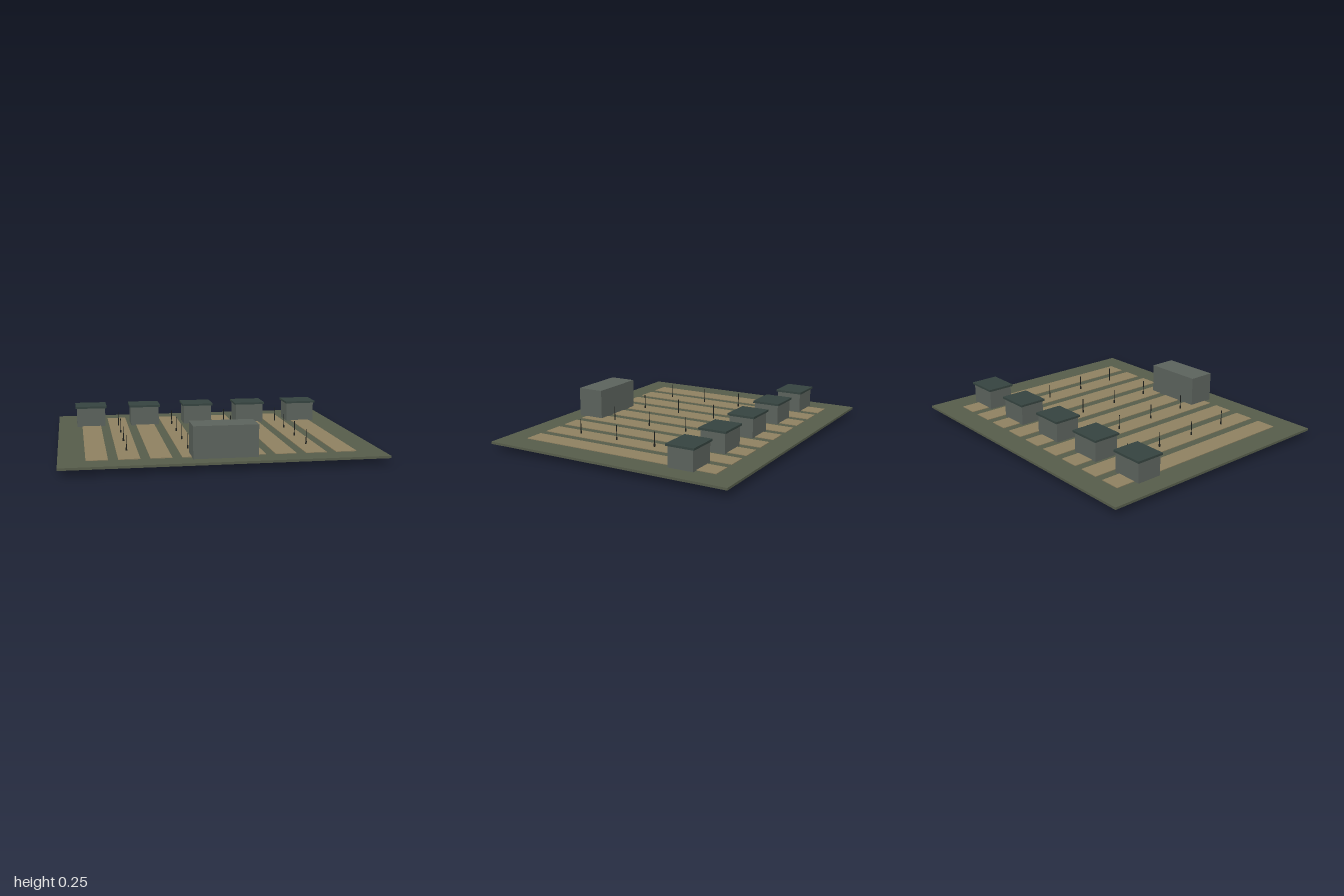
import * as THREE from 'three';

const mat = (color) => new THREE.MeshStandardMaterial({ color });

export function createModel() {
  const model = new THREE.Group();
  const ground = mat(0x565c4a), soil = mat(0x8e8060), wall = mat(0x5b625c);
  const roof = mat(0x35433f), dark = mat(0x1c1f1d);

  // Box given by size, centre x/z and bottom height
  function box(name, material, w, h, d, x, y, z, parent = model) {
    const mesh = new THREE.Mesh(new THREE.BoxGeometry(w, h, d), material);
    mesh.name = name;
    mesh.position.set(x, y + h / 2, z);
    parent.add(mesh);
  }

  // Upright round post
  function post(name, r, y0, y1, parent) {
    const mesh = new THREE.Mesh(new THREE.CylinderGeometry(r, r, y1 - y0, 8), dark);
    mesh.name = name;
    mesh.position.y = (y0 + y1) / 2;
    parent.add(mesh);
  }

  box('groundSlab', ground, 2, 0.015, 1.692, 0, 0.04, 0);

  // Nine planted strips
  for (let i = -4; i <= 4; i++) box('fieldStrip', soil, 0.132, 0.006, 1.38, i * 0.192, 0.053, 0);

  // Row of five huts with overhanging flat roofs
  for (let i = -2; i <= 2; i++) {
    const hut = new THREE.Group();
    hut.name = 'hut';
    hut.position.set(i * 0.385, 0, -0.475);
    box('hutWalls', wall, 0.2, 0.135, 0.17, 0, 0.053, 0, hut);
    box('hutRoof', roof, 0.22, 0.014, 0.19, 0, 0.187, 0, hut);
    model.add(hut);
  }

  // Large building at the front
  box('mainBuilding', wall, 0.4, 0.2, 0.184, 0, 0.055, 0.653);

  // Grid of stakes: thick base through the slab, thin rod above
  for (const x of [-0.577, -0.192, 0.192, 0.577]) {
    for (const z of [-0.385, -0.115, 0.17, 0.454]) {
      const stake = new THREE.Group();
      stake.name = 'stake';
      stake.position.set(x, 0, z);
      post('stakeBase', 0.005, 0, 0.078, stake);
      post('stakeRod', 0.0025, 0.078, 0.157, stake);
      model.add(stake);
    }
  }
  return model;
}
